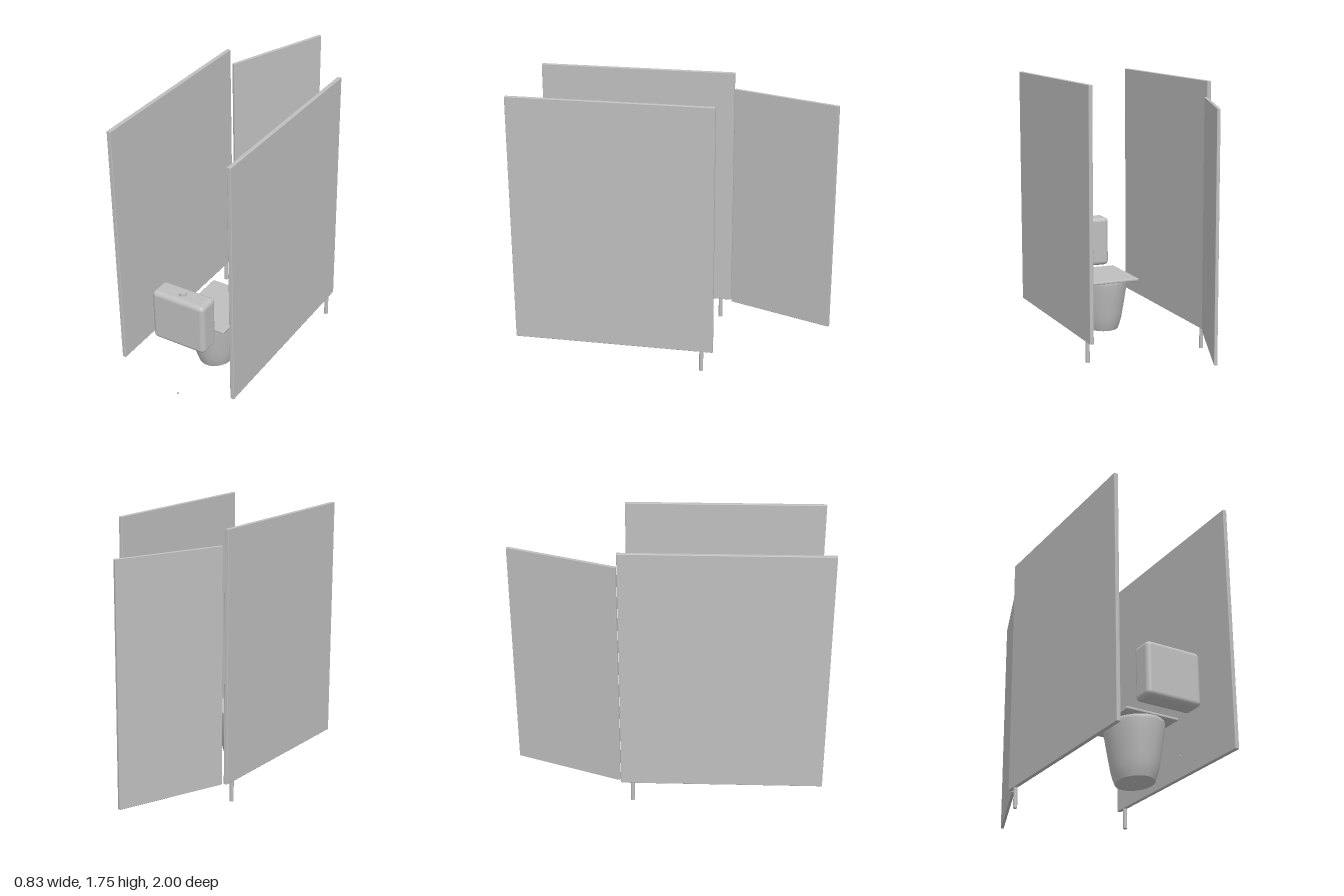
import * as THREE from 'three';
import { RoundedBoxGeometry } from 'three/addons/geometries/RoundedBoxGeometry.js';

export function createModel() {
  const model = new THREE.Group();
  model.name = 'toiletStall';
  const grey = new THREE.MeshStandardMaterial({ color: 0xbfbfbf });
  grey.name = 'light grey';

  const add = (name, geometry, x, y, z) => {
    const mesh = new THREE.Mesh(geometry, grey);
    mesh.name = name;
    mesh.position.set(x, y, z);
    model.add(mesh);
    return mesh;
  };
  const rounded = (w, h, d, r, segments = 2) => new RoundedBoxGeometry(w, h, d, segments, r);

  // Side partitions, each on one front post
  for (const [side, s] of [['left', 1], ['right', -1]]) {
    add(side + 'Partition', rounded(0.026, 1.615, 1.295, 0.004), s * 0.4, 0.9425, 0.347);
    add(side + 'Post', new THREE.CylinderGeometry(0.013, 0.013, 0.14, 20), s * 0.4, 0.07, -0.226);
  }

  // Door, swung outwards from the end of the right partition
  const from = new THREE.Vector2(-0.374, -0.308);
  const to = new THREE.Vector2(-0.104, -0.996);
  const door = add('door', rounded(0.02, 1.515, from.distanceTo(to), 0.003),
    (from.x + to.x) / 2, 0.8925, (from.y + to.y) / 2);
  door.rotation.y = Math.atan2(to.x - from.x, to.y - from.y);

  // Oval bowl: a lathed profile stretched front to back
  const profile = [
    [0, 0], [0.112, 0], [0.112, 0], [0.122, 0.03], [0.134, 0.075], [0.143, 0.13],
    [0.154, 0.2], [0.166, 0.28], [0.172, 0.335], [0.172, 0.35], [0.168, 0.36], [0, 0.36],
  ].map(([r, y]) => new THREE.Vector2(r, y));
  add('bowl', new THREE.LatheGeometry(profile, 48), 0, 0, 0.5225).scale.z = 1.23;

  // Seat plate
  add('seat', rounded(0.358, 0.018, 0.45, 0.006), 0, 0.368, 0.505);

  // Cistern and flush button
  add('cistern', rounded(0.37, 0.345, 0.145, 0.03, 5), 0, 0.5325, 0.8925);
  add('flushButton', new THREE.CylinderGeometry(0.025, 0.025, 0.02, 32), 0, 0.71, 0.893);

  // Paper roll and its bracket on the left partition
  add('paperRoll', new THREE.CylinderGeometry(0.053, 0.053, 0.08, 32), 0.35, 0.653, 0.54)
    .rotation.z = Math.PI / 2;
  add('rollBracket', rounded(0.022, 0.03, 0.12, 0.003), 0.378, 0.715, 0.54);

  // Small floor stud behind the cistern
  add('floorStud', new THREE.SphereGeometry(0.006, 12, 8), 0, 0.008, 0.992);

  return model;
}
